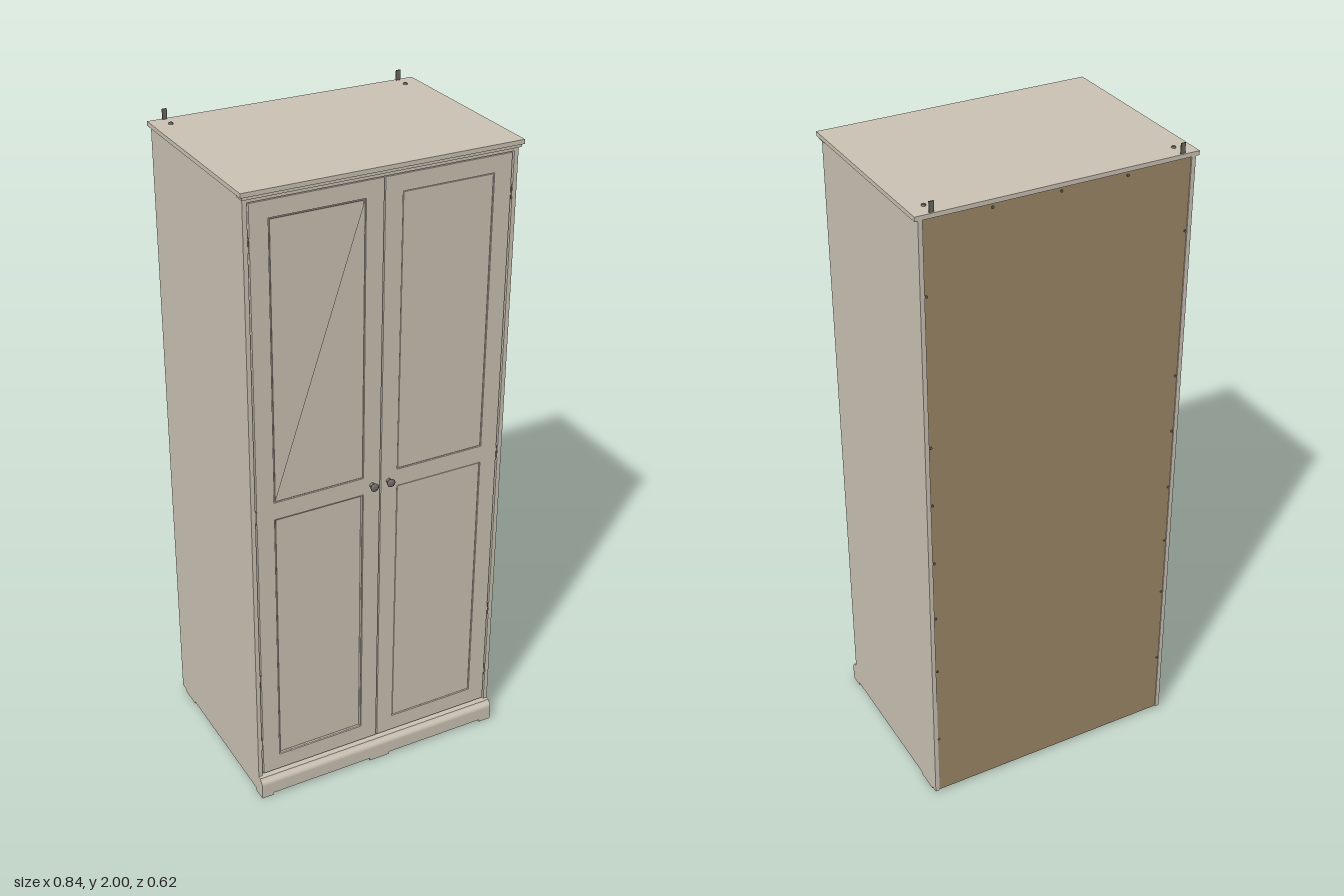
import * as THREE from 'three';

const mat = (name, color) => {
  const m = new THREE.MeshStandardMaterial({ color });
  m.name = name;
  return m;
};

export function createModel() {
  const paint = mat('cream paint', 0xc9c1b3);
  const board = mat('brown backing', 0x9c8767);
  const metal = mat('dark metal', 0x6b665e);
  const root = new THREE.Group();
  root.name = 'wardrobe';

  const add = (name, geo, material, parent = root) => {
    const m = new THREE.Mesh(geo, material);
    m.name = name;
    parent.add(m);
    return m;
  };
  // Box given by its lower and upper limits on each axis
  const box = (name, x0, x1, y0, y1, z0, z1, material = paint, parent = root) => {
    const m = add(name, new THREE.BoxGeometry(x1 - x0, y1 - y0, z1 - z0), material, parent);
    m.position.set((x0 + x1) / 2, (y0 + y1) / 2, (z0 + z1) / 2);
    return m;
  };
  const rect = (P, x0, x1, y0, y1) => new P([
    new THREE.Vector2(x0, y0), new THREE.Vector2(x1, y0),
    new THREE.Vector2(x1, y1), new THREE.Vector2(x0, y1),
  ]);

  // Carcass
  box('topBoard', -0.42, 0.42, 1.957, 1.97, -0.308, 0.297);
  box('cornice', -0.414, 0.414, 1.948, 1.957, 0.26, 0.292);
  box('topRail', -0.397, 0.397, 1.937, 1.957, 0.262, 0.284);
  box('bottomPanel', -0.397, 0.397, 0.055, 0.07, -0.297, 0.262);
  box('innerShelf', -0.397, 0.397, 1.66, 1.672, -0.297, 0.24);
  box('backPanel', -0.402, 0.402, 0.01, 1.957, -0.303, -0.297, board);
  for (const s of [-1, 1]) {
    const a = s * 0.397, b = s * 0.41;
    box('sidePanel', Math.min(a, b), Math.max(a, b), 0.01, 1.957, -0.306, 0.284);
  }

  // Plinth with a rounded upper edge; profile x is depth
  const profile = new THREE.Shape();
  profile.moveTo(0.27, 0.01);
  profile.lineTo(0.308, 0.01);
  profile.lineTo(0.308, 0.048);
  profile.bezierCurveTo(0.308, 0.06, 0.298, 0.062, 0.295, 0.07);
  profile.lineTo(0.27, 0.07);
  const plinthGeo = new THREE.ExtrudeGeometry(profile, { depth: 0.82, bevelEnabled: false, curveSegments: 8 });
  plinthGeo.rotateY(-Math.PI / 2).translate(0.41, 0, 0);
  add('plinth', plinthGeo, paint);
  box('plinthBacking', -0.397, 0.397, 0.01, 0.055, 0.265, 0.27, board);

  // Feet
  for (const x of [-0.39, 0, 0.39]) {
    const w = x ? 0.02 : 0.035;
    box('frontFoot', x - w, x + w, 0, 0.012, 0.265, 0.306);
  }
  for (const x of [-0.397, 0.397]) box('rearFoot', x - 0.012, x + 0.012, 0, 0.012, -0.28, -0.21);

  // Knob turned around its axis
  const knobGeo = new THREE.LatheGeometry([
    [0.008, 0], [0.005, 0.004], [0.005, 0.009], [0.012, 0.013], [0.013, 0.017], [0.009, 0.022], [0, 0.023],
  ].map(([r, y]) => new THREE.Vector2(r, y)), 20).rotateX(Math.PI / 2);

  // Doors: frame with two openings, recessed panels and mouldings
  const openings = [[0.13, 0.98], [1.035, 1.885]];
  for (const s of [-1, 1]) {
    const door = new THREE.Group();
    door.name = s > 0 ? 'leftDoor' : 'rightDoor';
    root.add(door);
    const [x0, x1] = s > 0 ? [0.002, 0.392] : [-0.392, -0.002];
    const [p0, p1] = s > 0 ? [0.055, 0.338] : [-0.338, -0.055];
    const frame = rect(THREE.Shape, x0, x1, 0.076, 1.934);
    for (const [y0, y1] of openings) frame.holes.push(rect(THREE.Path, p0, p1, y0, y1));
    const frameGeo = new THREE.ExtrudeGeometry(frame, { depth: 0.018, bevelEnabled: false });
    add('doorFrame', frameGeo.translate(0, 0, 0.265), paint, door);

    for (const [y0, y1] of openings) {
      box('doorPanel', p0, p1, y0, y1, 0.267, 0.275, paint, door);
      const ring = rect(THREE.Shape, p0, p1, y0, y1);
      ring.holes.push(rect(THREE.Path, p0 + 0.006, p1 - 0.006, y0 + 0.006, y1 - 0.006));
      const ringGeo = new THREE.ExtrudeGeometry(ring, {
        depth: 0.001, bevelThickness: 0.003, bevelSize: 0.003, bevelOffset: -0.003, bevelSegments: 1,
      });
      add('panelMoulding', ringGeo.translate(0, 0, 0.277), paint, door);
    }
    add('knob', knobGeo, metal, door).position.set(s * 0.027, 1.005, 0.283);

    // Hinge edges in the gap beside the door
    for (const y of [0.19, 0.43, 1.0, 1.82]) {
      box('hinge', s * 0.3945 - 0.002, s * 0.3945 + 0.002, y - 0.02, y + 0.02, 0.262, 0.284, metal, door);
    }

    // Wall bracket with its screw
    box('wallBracket', s * 0.37 - 0.007, s * 0.37 + 0.007, 1.969, 2, -0.303, -0.3, metal);
    add('bracketScrew', new THREE.CylinderGeometry(0.005, 0.007, 0.005, 12), metal)
      .position.set(s * 0.37, 1.972, -0.258);

    // Pins holding the back panel
    for (const y of [0.22, 0.49, 0.69, 0.89, 1.09, 1.28, 1.74]) {
      add('backPin', new THREE.CylinderGeometry(0.004, 0.004, 0.004, 10).rotateX(Math.PI / 2), metal)
        .position.set(s * 0.392, y, -0.304);
    }
  }
  for (const x of [-0.2, 0, 0.2]) {
    add('backPin', new THREE.CylinderGeometry(0.004, 0.004, 0.004, 10).rotateX(Math.PI / 2), metal)
      .position.set(x, 1.945, -0.304);
  }
  return root;
}
